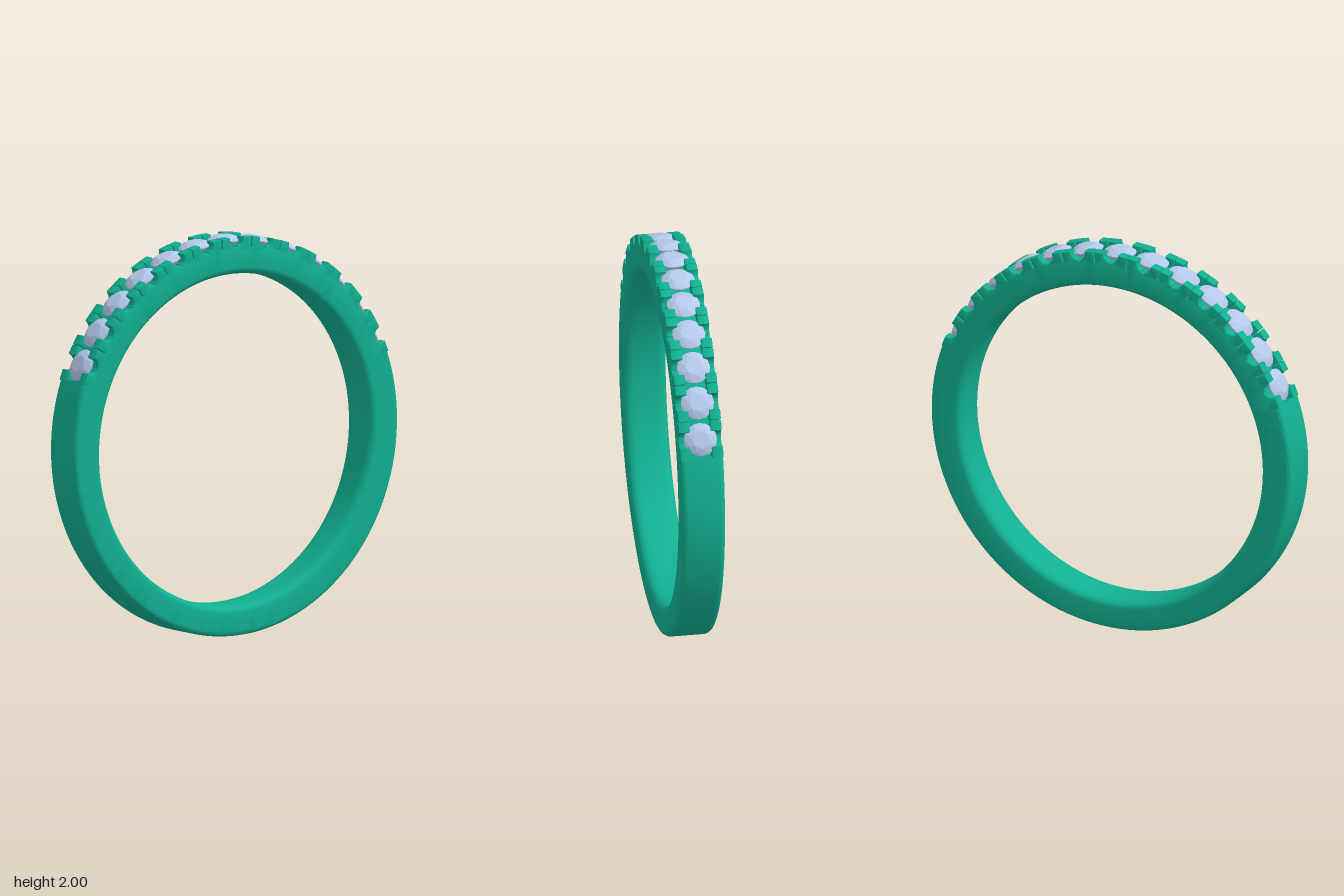
import * as THREE from 'three';
import { toCreasedNormals } from 'three/addons/utils/BufferGeometryUtils.js';
import { ConvexGeometry } from 'three/addons/geometries/ConvexGeometry.js';

const RAD = Math.PI / 180;
const HALF_W = 0.108;            // half the band width
const STONES = 13;
const PITCH = 10.7 * RAD;        // angle between stones
const SET_END = PITCH * STONES / 2;
const FLOOR = 0.95;              // band radius under the stones

const metal = new THREE.MeshStandardMaterial({ color: 0x11b091 });
const gem = new THREE.MeshStandardMaterial({ color: 0xb4c8ea, flatShading: true });

// Rounded cross-section as [radius, z], from the back over the outside to the front and back inside
function section(inner, outer, corner) {
  const pts = [];
  const arc = (r, z, rr, rz, from) => {
    for (let k = 0; k <= 5; k++) {
      const t = from + k / 5 * Math.PI / 2;
      pts.push([r + rr * Math.sin(t), z - rz * Math.cos(t)]);
    }
  };
  arc(outer - corner, -HALF_W + corner, corner, corner, 0);
  arc(outer - corner, HALF_W - corner, corner, corner, Math.PI / 2);
  arc(inner + 0.035, HALF_W - 0.05, 0.035, 0.05, Math.PI);
  arc(inner + 0.035, -HALF_W + 0.05, 0.035, 0.05, Math.PI * 1.5);
  return pts;
}

// Band swept round the ring; the hole sits slightly low, and the set arc is cut down to the floor
function bandGeometry() {
  const rings = [];
  const addArc = (from, to, steps, outer, corner) => {
    for (let i = 0; i <= steps; i++) {
      const a = from + (to - from) * i / steps;
      const inner = -0.018 * Math.cos(a) + Math.sqrt(0.83 ** 2 - (0.018 * Math.sin(a)) ** 2);
      rings.push(section(inner, outer, corner).map(([r, z]) => [r * Math.sin(a), 1 + r * Math.cos(a), z]));
    }
  };
  addArc(-SET_END, SET_END, 78, FLOOR, 0.003);
  addArc(SET_END, 2 * Math.PI - SET_END, 120, 1, 0.025);

  const n = rings[0].length, index = [];
  rings.forEach((_, i) => {
    const next = (i + 1) % rings.length;
    for (let j = 0; j < n; j++) {
      const k = (j + 1) % n;
      const a = i * n + j, b = i * n + k, c = next * n + j, d = next * n + k;
      index.push(a, b, c, b, d, c);
    }
  });
  const geo = new THREE.BufferGeometry();
  geo.setAttribute('position', new THREE.Float32BufferAttribute(rings.flat(2), 3));
  geo.setIndex(index);
  return toCreasedNormals(geo, 40 * RAD);
}

// Half of a wall between two stones: a slit on one side, a round scallop on the other
function prongGeometry(slit) {
  const scallop = 0.04, mid = Math.tan(PITCH / 2) * 0.99;
  const top = t => Math.sqrt(1 - t * t);
  const shape = new THREE.Shape();
  shape.moveTo(slit, 0.93);
  shape.lineTo(mid - 0.012, 0.93);
  for (let k = 0; k <= 6; k++) {
    const t = k / 6 * Math.PI / 2;
    shape.lineTo(mid - 0.012 - (scallop - 0.012) * Math.sin(t), 0.995 - 0.043 * Math.cos(t));
  }
  shape.lineTo(mid - scallop, top(mid - scallop));
  shape.lineTo(slit, top(slit));
  const bevel = 0.006, depth = 0.056;
  const geo = new THREE.ExtrudeGeometry(shape, {
    depth: depth - 2 * bevel, bevelThickness: bevel, bevelSize: bevel,
    bevelOffset: -bevel, bevelSegments: 2,
  });
  geo.translate(0, 0, bevel - depth / 2);
  return toCreasedNormals(geo, 35 * RAD);
}

// Round faceted stone: table, crown facets, thin girdle and pointed pavilion
function stoneGeometry() {
  const pts = [new THREE.Vector3(0, 0.90, 0)];
  const ring = (r, y, count, turn) => {
    for (let k = 0; k < count; k++) {
      const a = (k + turn) / count * 2 * Math.PI;
      pts.push(new THREE.Vector3(r * Math.cos(a), y, r * Math.sin(a)));
    }
  };
  ring(0.044, 1.001, 8, 0);
  ring(0.067, 0.991, 8, 0.5);
  ring(0.083, 0.979, 16, 0);
  ring(0.083, 0.974, 16, 0);
  return new ConvexGeometry(pts);
}

export function createModel() {
  const ring = new THREE.Group();
  ring.name = 'ring';

  const add = (parent, name, geometry, material) => {
    const mesh = new THREE.Mesh(geometry, material);
    mesh.name = name;
    parent.add(mesh);
    return mesh;
  };
  // Group turned about the ring centre, angle measured from the top towards +x
  const station = (name, angle) => {
    const g = new THREE.Group();
    g.name = name;
    g.position.y = 1;
    g.rotation.z = -angle;
    ring.add(g);
    return g;
  };

  add(ring, 'band', bandGeometry(), metal);

  // Stones along the upper arc
  const stone = stoneGeometry();
  for (let i = 0; i < STONES; i++) {
    add(station('stoneSeat', (i - (STONES - 1) / 2) * PITCH), 'stone', stone, gem);
  }

  // Prong walls between the stones; the outermost ones join the plain band
  const splitProng = prongGeometry(0.002), endProng = prongGeometry(-0.004);
  for (let i = 0; i <= STONES; i++) {
    const g = station('prongs', (i - STONES / 2) * PITCH);
    const end = i === 0 || i === STONES;
    for (const side of [1, -1]) {
      if ((i === 0 && side < 0) || (i === STONES && side > 0)) continue;
      for (const face of [1, -1]) {
        const prong = add(g, 'prong', end ? endProng : splitProng, metal);
        prong.position.z = face * (HALF_W - 0.028);
        prong.rotation.y = side > 0 ? 0 : Math.PI;
      }
    }
  }
  return ring;
}
